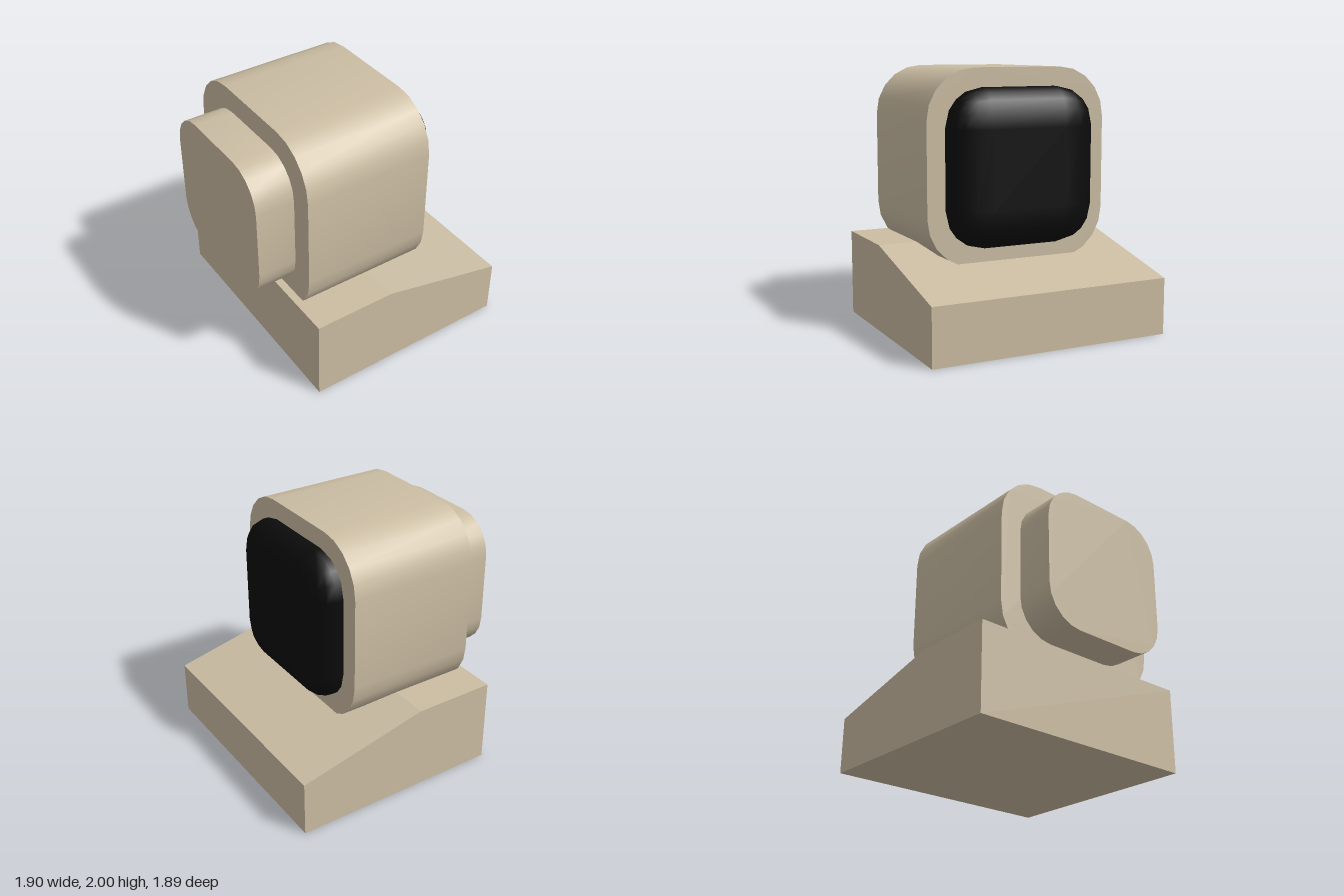
import * as THREE from 'three';
import { toCreasedNormals } from 'three/addons/utils/BufferGeometryUtils.js';
import { RoundedBoxGeometry } from 'three/addons/geometries/RoundedBoxGeometry.js';

const CENTER_Y = 1.267;
const beige = new THREE.MeshStandardMaterial({ color: 0xcbbda3 });
const black = new THREE.MeshStandardMaterial({ color: 0x0b0b0b });

// Square outline with rounded corners, five facets per corner
function roundedSquare(half, radius, steps = 5) {
  const points = [];
  for (let corner = 0; corner < 4; corner++) {
    const mid = (corner + 0.5) * Math.PI / 2;
    const cx = Math.sign(Math.cos(mid)) * (half - radius);
    const cy = Math.sign(Math.sin(mid)) * (half - radius);
    for (let i = 0; i <= steps; i++) {
      const a = (corner + i / steps) * Math.PI / 2;
      points.push(new THREE.Vector2(cx + radius * Math.cos(a), cy + radius * Math.sin(a)));
    }
  }
  return new THREE.Shape(points);
}

// Rounded square housing running along x, smooth around and sharp at the ends
function housing(name, half, radius, x0, x1) {
  const extruded = new THREE.ExtrudeGeometry(roundedSquare(half, radius), {
    depth: x1 - x0, bevelEnabled: false,
  });
  const geometry = toCreasedNormals(extruded, 0.6);
  geometry.rotateY(Math.PI / 2).translate(x0, CENTER_Y, 0);
  const mesh = new THREE.Mesh(geometry, beige);
  mesh.name = name;
  return mesh;
}

export function createModel() {
  const model = new THREE.Group();
  model.name = 'monitorOnBase';

  // Base: flat at the back, sloping down under the screen
  const profile = new THREE.Shape([
    [-0.71, 0], [0.948, 0], [0.948, 0.433], [-0.067, 0.67], [-0.71, 0.67],
  ].map(([x, y]) => new THREE.Vector2(x, y)));
  const baseGeometry = new THREE.ExtrudeGeometry(profile, { depth: 1.89, bevelEnabled: false });
  baseGeometry.translate(0, 0, -0.945);
  const base = new THREE.Mesh(baseGeometry, beige);
  base.name = 'base';
  model.add(base);

  // Monitor body and the smaller housing behind it
  model.add(housing('monitorBody', 0.733, 0.38, -0.65, 0.38));
  model.add(housing('rearHousing', 0.555, 0.287, -0.952, -0.65));

  // Bulging screen: rounded box flattened along x, half sunk into the body
  const radius = 0.29;
  const squash = 0.165 / radius;
  const screenGeometry = new RoundedBoxGeometry(0.44 / squash, 1.18, 1.18, 2, radius);
  screenGeometry.scale(squash, 1, 1);
  const screen = new THREE.Mesh(screenGeometry, black);
  screen.name = 'screen';
  screen.position.set(0.592 - 0.22, CENTER_Y, 0);
  model.add(screen);

  return model;
}
